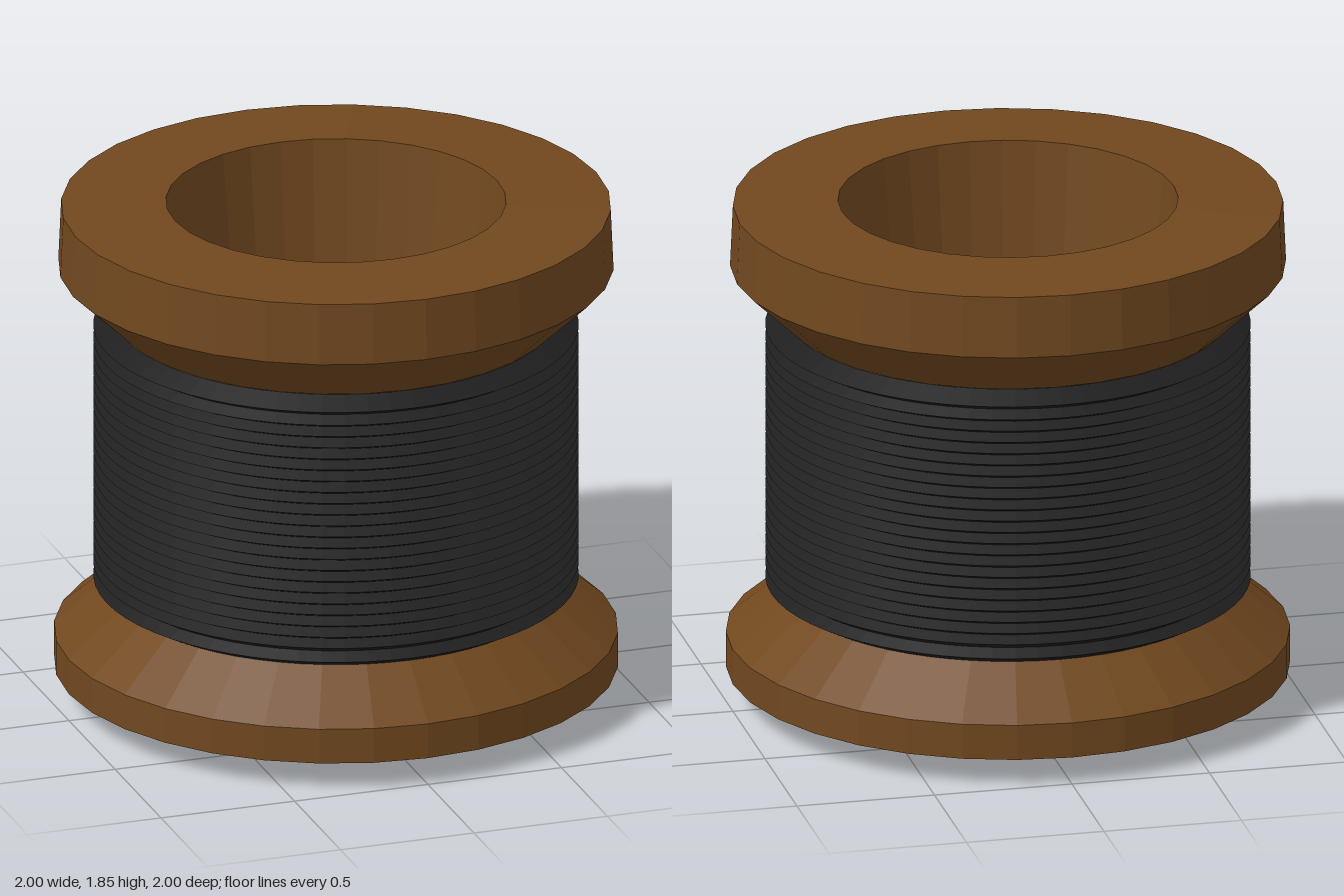
import * as THREE from 'three';

export function createModel() {
  const group = new THREE.Group();
  const wood = new THREE.MeshStandardMaterial({ color: 0x71481f, flatShading: true, side: THREE.DoubleSide });
  wood.name = 'brown wood';
  const thread = new THREE.MeshStandardMaterial({ color: 0x1f1f1f, flatShading: true });
  thread.name = 'black thread';

  const lathe = (name, profile, material, sides) => {
    const points = profile.map(([r, y]) => new THREE.Vector2(r, y));
    const mesh = new THREE.Mesh(new THREE.LatheGeometry(points, sides), material);
    mesh.name = name;
    group.add(mesh);
  };

  // Wooden spool: outside from bottom to top, then down the tapered bore to its thin floor
  lathe('spool', [
    [0.415, 0], [1, 0.1], [1, 0.23], [0.8, 0.4],
    [0.77, 0.4], [0.77, 1.42],
    [0.785, 1.42], [0.985, 1.61], [0.975, 1.835], [0.603, 1.85],
    [0.415, 0], [0, 0],
  ], wood, 32);

  // Wound thread: stacked sharp ridges, with slightly wider gaps at both ends
  const peaks = [0.43];
  for (let i = 0; i < 21; i++) peaks.push(0.483 + i * 0.0424);
  peaks.push(1.38);
  const ridges = [[0.77, 0.4], [0.805, 0.4]];
  peaks.forEach((y, i) => {
    if (i > 0) ridges.push([0.815, (y + peaks[i - 1]) / 2]);
    ridges.push([0.86, y]);
  });
  ridges.push([0.785, 1.42]);
  lathe('thread', ridges, thread, 64);

  return group;
}
